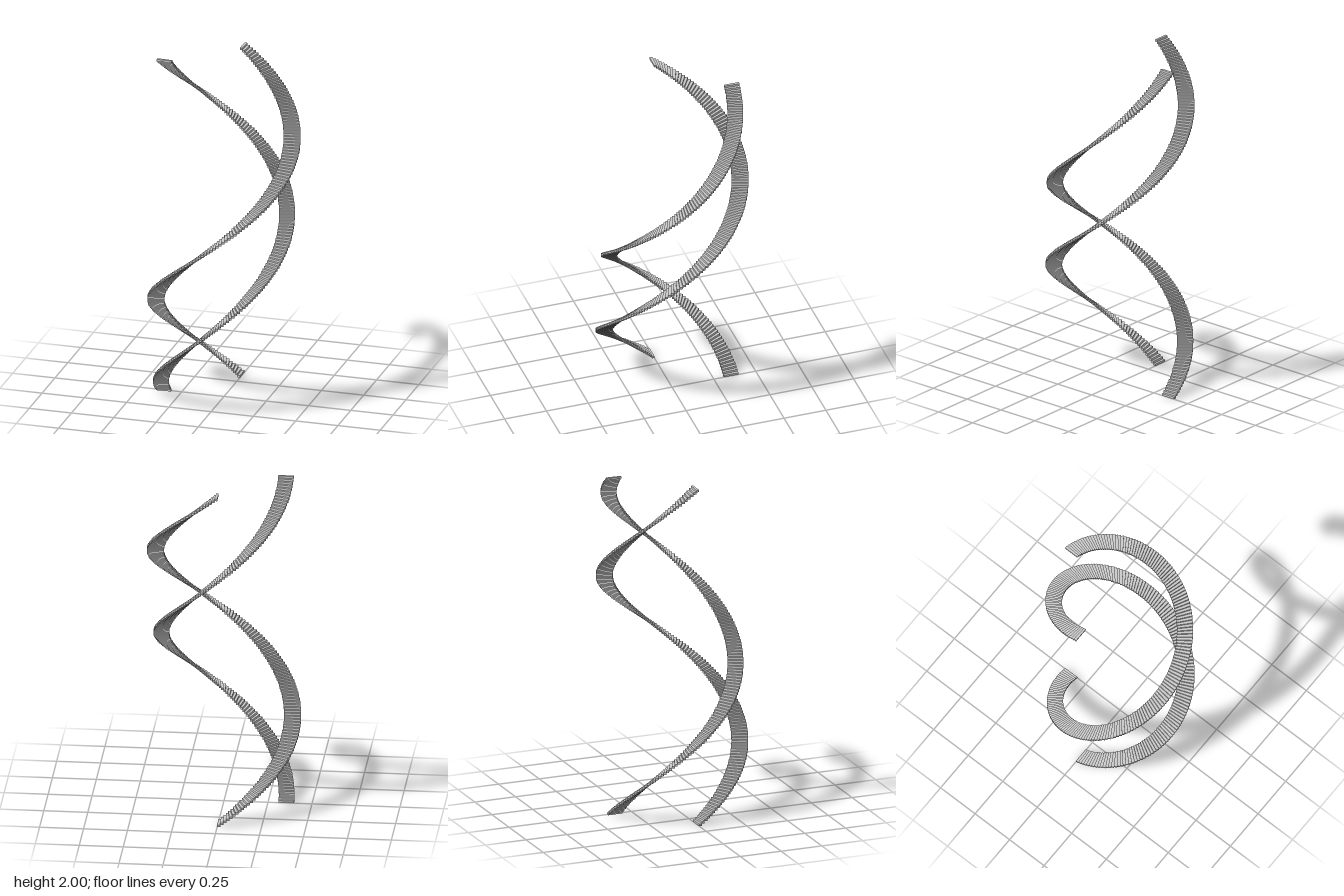
import * as THREE from 'three';
import { mergeGeometries } from 'three/addons/utils/BufferGeometryUtils.js';

const STEPS = 160;            // steps in one full turn
const HEIGHT = 2;
const INNER = 0.34, OUTER = 0.437;
const SQUASH = 0.911;         // the strand follows a slightly oval plan

// One wedge-shaped step: a unit box bent into polar coordinates
function stepGeometry(i) {
  const geometry = new THREE.BoxGeometry(1, 1, 1);
  const p = geometry.attributes.position;
  const turn = (Math.PI * 2) / STEPS;
  for (let k = 0; k < p.count; k++) {
    const radius = THREE.MathUtils.lerp(INNER, OUTER, p.getX(k) + 0.5);
    const angle = Math.PI - (i + 0.5 - p.getZ(k)) * turn;
    const y = ((i + 0.5 + p.getY(k)) * HEIGHT) / STEPS;
    p.setXYZ(k, SQUASH * radius * Math.cos(angle), y, radius * Math.sin(angle));
  }
  geometry.computeVertexNormals();
  return geometry;
}

export function createModel() {
  const group = new THREE.Group();
  group.name = 'doubleSpiral';
  const material = new THREE.MeshStandardMaterial({ color: 0xcccccc, flatShading: true });

  // Full-turn stepped ribbon, used twice a quarter turn apart
  const strand = mergeGeometries(Array.from({ length: STEPS }, (_, i) => stepGeometry(i)));
  ['firstSpiralStrand', 'secondSpiralStrand'].forEach((name, n) => {
    const mesh = new THREE.Mesh(strand, material);
    mesh.name = name;
    mesh.rotation.y = (-n * Math.PI) / 2;
    group.add(mesh);
  });
  return group;
}
